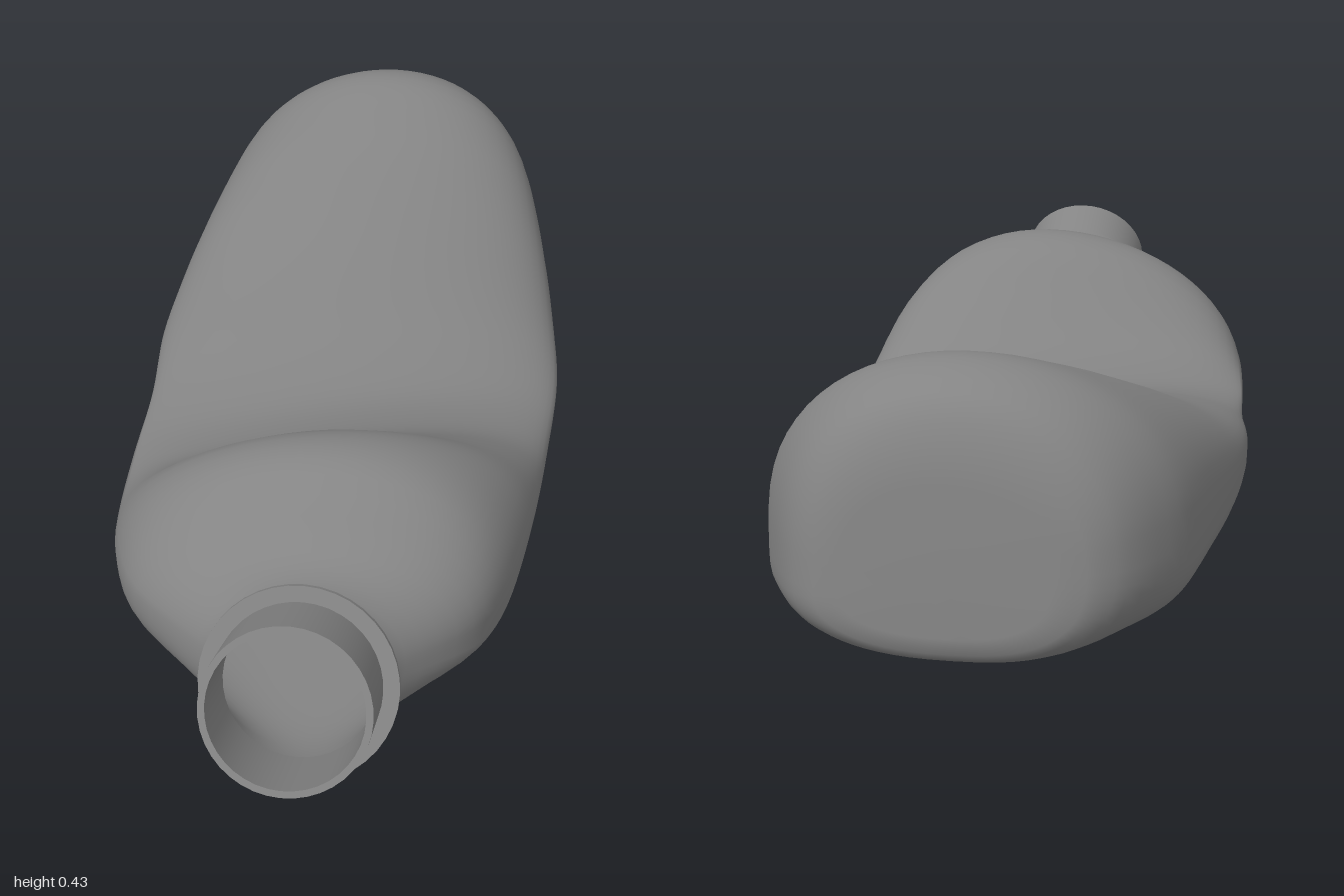
import * as THREE from 'three';

const material = new THREE.MeshStandardMaterial({ color: 0x848484, side: THREE.DoubleSide });
const { smoothstep, lerp, degToRad } = THREE.MathUtils;

// Smooth curve through [z, value] pairs, listed by rising z
function profile(points) {
  const n = points.length;
  const slope = (i) => {
    const a = points[Math.max(i - 1, 0)], b = points[Math.min(i + 1, n - 1)];
    return (b[1] - a[1]) / (b[0] - a[0]);
  };
  return (z) => {
    if (z <= points[0][0]) return points[0][1];
    if (z >= points[n - 1][0]) return points[n - 1][1];
    let i = 0;
    while (z > points[i + 1][0]) i++;
    const [z0, v0] = points[i], [z1, v1] = points[i + 1];
    const h = z1 - z0, t = (z - z0) / h, t2 = t * t, t3 = t2 * t;
    return v0 * (2 * t3 - 3 * t2 + 1) + slope(i) * h * (t3 - 2 * t2 + t)
      + v1 * (3 * t2 - 2 * t3) + slope(i + 1) * h * (t3 - t2);
  };
}

// Outline of the dented bottle along its length
const top = profile([[-0.99, 0.27], [-0.983, 0.32], [-0.965, 0.37], [-0.92, 0.406], [-0.83, 0.424], [-0.7, 0.388],
  [-0.6, 0.345], [-0.4, 0.265], [-0.2, 0.2], [-0.1, 0.167], [0.01, 0.145], [0.1, 0.154], [0.2, 0.188],
  [0.3, 0.262], [0.38, 0.332], [0.45, 0.355], [0.52, 0.343], [0.6, 0.285], [0.66, 0.255], [0.74, 0.25], [0.818, 0.275]]);
const bottom = profile([[-0.99, 0.05], [-0.983, 0.025], [-0.96, 0.006], [-0.9, 0], [0.68, 0], [0.75, 0.008], [0.818, 0.035]]);
const right = profile([[-0.99, 0.14], [-0.983, 0.18], [-0.95, 0.225], [-0.9, 0.257], [-0.8, 0.3], [-0.6, 0.347],
  [-0.4, 0.377], [-0.2, 0.396], [0, 0.39], [0.2, 0.378], [0.4, 0.357], [0.5, 0.338], [0.6, 0.3], [0.7, 0.22],
  [0.76, 0.18], [0.818, 0.17]]);
const left = profile([[-0.99, -0.17], [-0.983, -0.215], [-0.95, -0.265], [-0.9, -0.3], [-0.8, -0.343], [-0.6, -0.374],
  [-0.4, -0.395], [-0.2, -0.4], [0, -0.38], [0.2, -0.37], [0.4, -0.352], [0.5, -0.33], [0.6, -0.28], [0.7, -0.17],
  [0.76, -0.11], [0.818, -0.09]]);
const lean = profile([[-1, -0.12], [-0.85, -0.05], [-0.7, 0], [0.55, 0], [0.7, 0.25], [0.818, 0.458]]);
const waist = profile([[-1, 0.13], [-0.6, 0.115], [-0.3, 0.1], [0, 0.085], [0.3, 0.09], [0.55, 0.105], [0.8, 0.155]]);

// Closed loop of points for the section at z
function section(z, sides) {
  const xl = left(z), xr = right(z), low = bottom(z), mid = (xl + xr) / 2, half = (xr - xl) / 2;
  const neckward = smoothstep(z, 0.5, 0.8), baseward = smoothstep(-z, 0.75, 0.98);
  // The dent runs diagonally across the bottle, and the front hump sits off centre
  const skew = 0.32 * (1 - smoothstep(z, 0.1, 0.55)) * (1 - smoothstep(-z, 0.45, 0.9));
  const shift = 0.055 * smoothstep(z, 0, 0.35) * (1 - neckward) + 0.012 * smoothstep(-z, 0.4, 0.8);
  const lowPower = lerp(lerp(0.56, 0.8, baseward), 1, neckward);
  const highPower = lerp(1, 0.77, smoothstep(-z, 0.2, 0.75));
  const loop = [];
  for (let j = 0; j < sides; j++) {
    const a = (j / sides) * Math.PI * 2, c = Math.cos(a), s = Math.sin(a);
    const widest = waist(z) - 0.02 * c * (1 - neckward);
    let x, y;
    if (s >= 0) {
      x = mid + half * c + shift * s;
      y = widest + (top(z + skew * x) - widest) * s ** highPower;
    } else {
      x = mid + half * Math.sign(c) * Math.abs(c) ** lowPower;
      y = widest - (widest - low) * Math.abs(s) ** lowPower;
    }
    loop.push([x, y, z - lean(z) * (y - 0.155)]);
  }
  return loop;
}

function bodyGeometry() {
  const sides = 64, stations = [0.818, 0.79];
  for (let z = 0.76; z > -0.93; z -= 0.03) stations.push(z);
  stations.push(-0.945, -0.96, -0.973, -0.983, -0.99);
  const positions = [], index = [];
  stations.forEach((z) => section(z, sides).forEach((p) => positions.push(...p)));
  for (let i = 0; i < stations.length - 1; i++) {
    for (let j = 0; j < sides; j++) {
      const k = (j + 1) % sides, a = i * sides, b = a + sides;
      index.push(a + j, b + j, a + k, a + k, b + j, b + k);
    }
  }
  // Slightly sunken base at the back
  const last = (stations.length - 1) * sides, centre = stations.length * sides;
  positions.push(-0.01, 0.15, -0.985);
  for (let j = 0; j < sides; j++) index.push(last + j, centre, last + ((j + 1) % sides));
  const geometry = new THREE.BufferGeometry();
  geometry.setAttribute('position', new THREE.Float32BufferAttribute(positions, 3));
  geometry.setIndex(index);
  geometry.computeVertexNormals();
  return geometry;
}

// Lathe made of separate straight bands, so its edges stay sharp
function turned(name, points, parent) {
  const group = new THREE.Group();
  group.name = name;
  for (let i = 0; i < points.length - 1; i++) {
    const band = [points[i], points[i + 1]].map(([r, y]) => new THREE.Vector2(r, y));
    const mesh = new THREE.Mesh(new THREE.LatheGeometry(band, 40), material);
    mesh.name = name + 'Band';
    group.add(mesh);
  }
  parent.add(group);
}

export function createModel() {
  const model = new THREE.Group();
  model.name = 'crushedBottle';

  const body = new THREE.Mesh(bodyGeometry(), material);
  body.name = 'body';
  model.add(body);

  // Open neck, tilted up and forward
  const neck = new THREE.Group();
  neck.name = 'neck';
  neck.position.set(0.04, 0.155, 0.818);
  neck.rotation.x = degToRad(65.4);
  turned('neckTube', [[0.133, -0.01], [0.133, 0.138], [0.122, 0.138], [0.122, -0.01]], neck);
  turned('neckCollar', [[0.122, -0.005], [0.159, -0.005], [0.159, 0.005], [0.13, 0.005]], neck);
  model.add(neck);
  return model;
}
